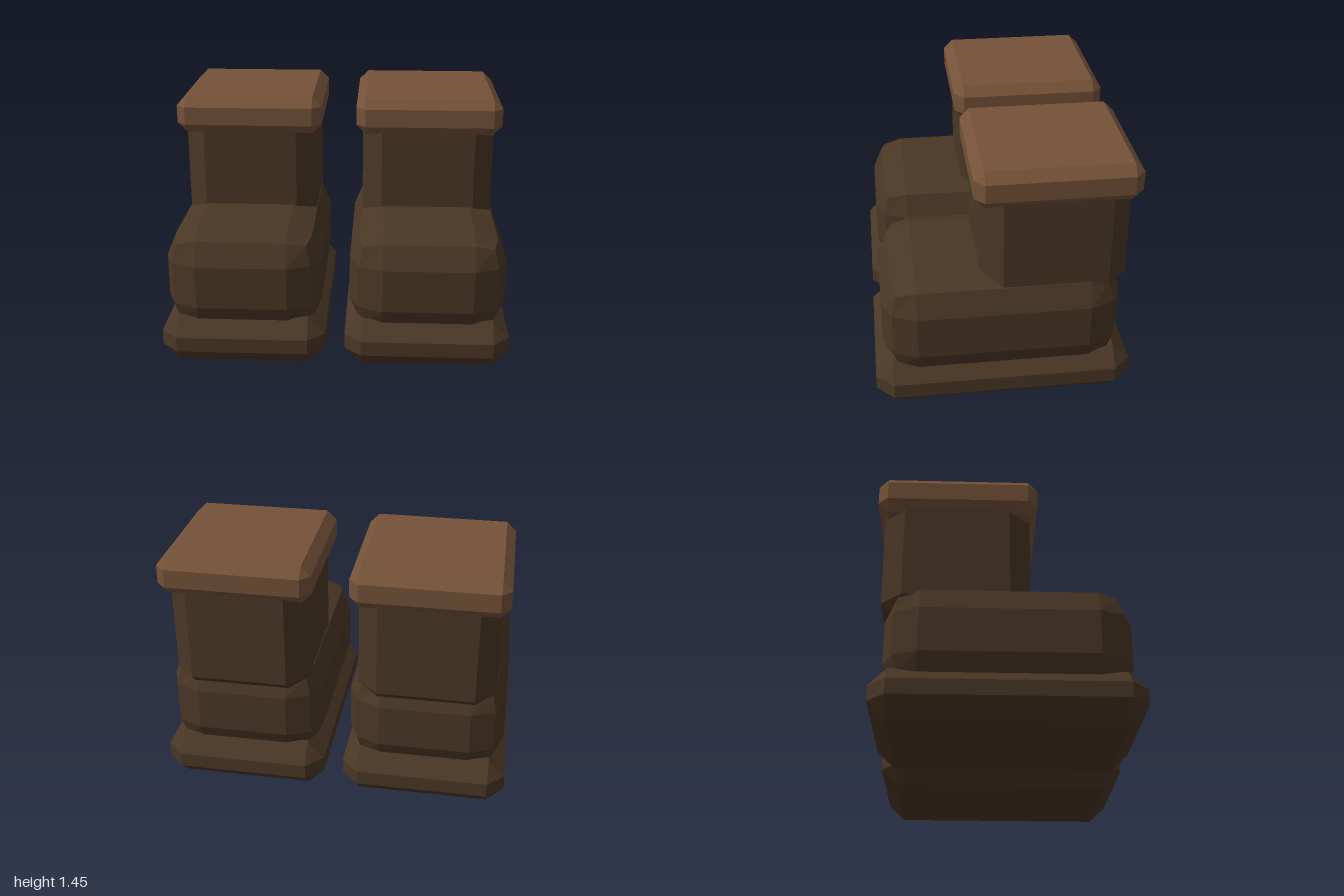
import * as THREE from 'three';
import { RoundedBoxGeometry } from 'three/addons/geometries/RoundedBoxGeometry.js';
import { ConvexGeometry } from 'three/addons/geometries/ConvexGeometry.js';

// Box whose every edge is cut by one flat bevel, standing between y0 and y1
function bevelBox(halfX, y0, y1, z0, z1, bevel) {
  const half = [halfX, (y1 - y0) / 2, (z1 - z0) / 2];
  const points = [];
  for (const sx of [-1, 1]) for (const sy of [-1, 1]) for (const sz of [-1, 1]) {
    for (let axis = 0; axis < 3; axis++) {
      const p = half.map((h, i) => (i === axis ? h : h - bevel));
      points.push(new THREE.Vector3(sx * p[0], sy * p[1], sz * p[2]));
    }
  }
  return new ConvexGeometry(points).translate(0, (y0 + y1) / 2, (z0 + z1) / 2);
}

export function createModel() {
  const leather = new THREE.MeshStandardMaterial({ color: 0x4a3725, flatShading: true });
  leather.name = 'darkLeather';
  const trim = new THREE.MeshStandardMaterial({ color: 0x745238, flatShading: true });
  trim.name = 'brownTrim';

  // Foot has a two-step bevel
  const foot = new RoundedBoxGeometry(0.895, 0.63, 1.33, 1, 0.19).translate(0, 0.475, 0.005);
  const parts = [
    ['sole', bevelBox(0.472, 0, 0.28, -0.72, 0.72, 0.097), leather],
    ['foot', foot, leather],
    ['shaft', bevelBox(0.388, 0.595, 1.4, -0.685, 0.125, 0.115), leather],
    ['cuff', bevelBox(0.426, 1.235, 1.447, -0.72, 0.165, 0.054), trim],
  ];

  const model = new THREE.Group();
  model.name = 'pairOfBoots';
  for (const side of [-1, 1]) {
    const boot = new THREE.Group();
    boot.name = side > 0 ? 'leftBoot' : 'rightBoot';
    boot.position.x = side * 0.528;
    for (const [name, geometry, material] of parts) {
      const mesh = new THREE.Mesh(geometry, material);
      mesh.name = name;
      boot.add(mesh);
    }
    model.add(boot);
  }
  return model;
}
